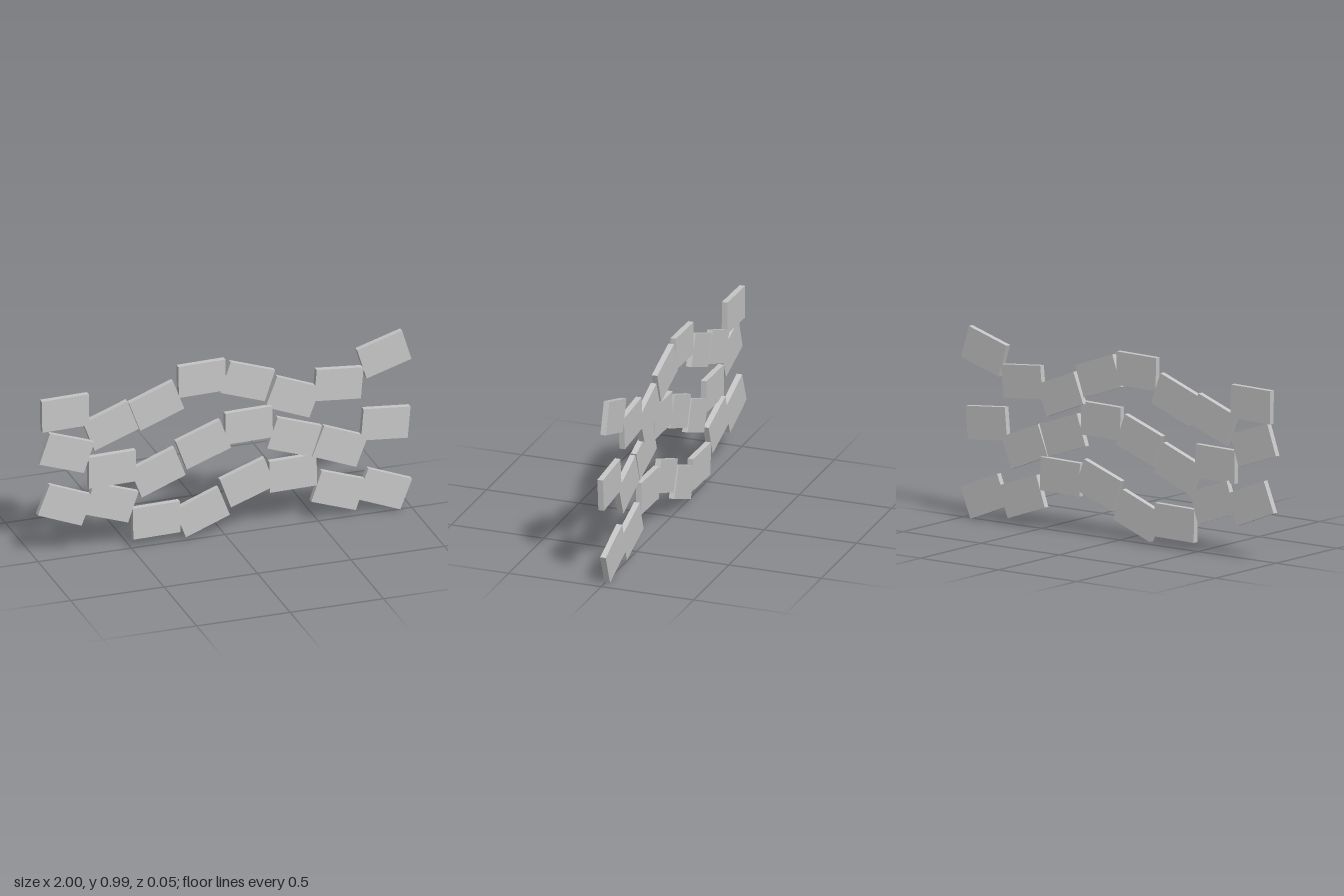
import * as THREE from 'three';

const WIDTH = 0.252, HEIGHT = 0.172, DEPTH = 0.03;
const FIRST_X = -0.854, STEP_X = 0.2437;

// Each row: depth position and [centre height, tilt in degrees] from -x to +x
const ROWS = [
  { name: 'topRow', z: -0.01, tiles: [[0.804, 1], [0.697, 20.5], [0.772, 20.5], [0.887, 1], [0.834, -19], [0.711, -21.5], [0.746, -5], [0.874, 17]] },
  { name: 'middleRow', z: 0.011, tiles: [[0.591, -19], [0.465, 1], [0.411, 21], [0.529, 20], [0.599, 1], [0.497, -19], [0.409, -21.5], [0.5, -5]] },
  { name: 'bottomRow', z: -0.01, tiles: [[0.294, -21.5], [0.27, -19], [0.136, 1], [0.144, 21], [0.272, 20], [0.286, 1], [0.155, -19], [0.127, -21.5]] },
];

export function createModel() {
  const model = new THREE.Group();
  model.name = 'wavyTileRows';
  const lightGrey = new THREE.MeshStandardMaterial({ color: 0xc6c6c6 });
  lightGrey.name = 'lightGrey';
  const slab = new THREE.BoxGeometry(WIDTH, HEIGHT, DEPTH);

  for (const { name, z, tiles } of ROWS) {
    const row = new THREE.Group();
    row.name = name;
    // Evenly spaced slabs, each tilted to follow the wave
    tiles.forEach(([y, tilt], i) => {
      const tile = new THREE.Mesh(slab, lightGrey);
      tile.name = `tile${i + 1}`;
      tile.position.set(FIRST_X + i * STEP_X, y, z);
      tile.rotation.z = THREE.MathUtils.degToRad(tilt);
      row.add(tile);
    });
    model.add(row);
  }
  return model;
}
